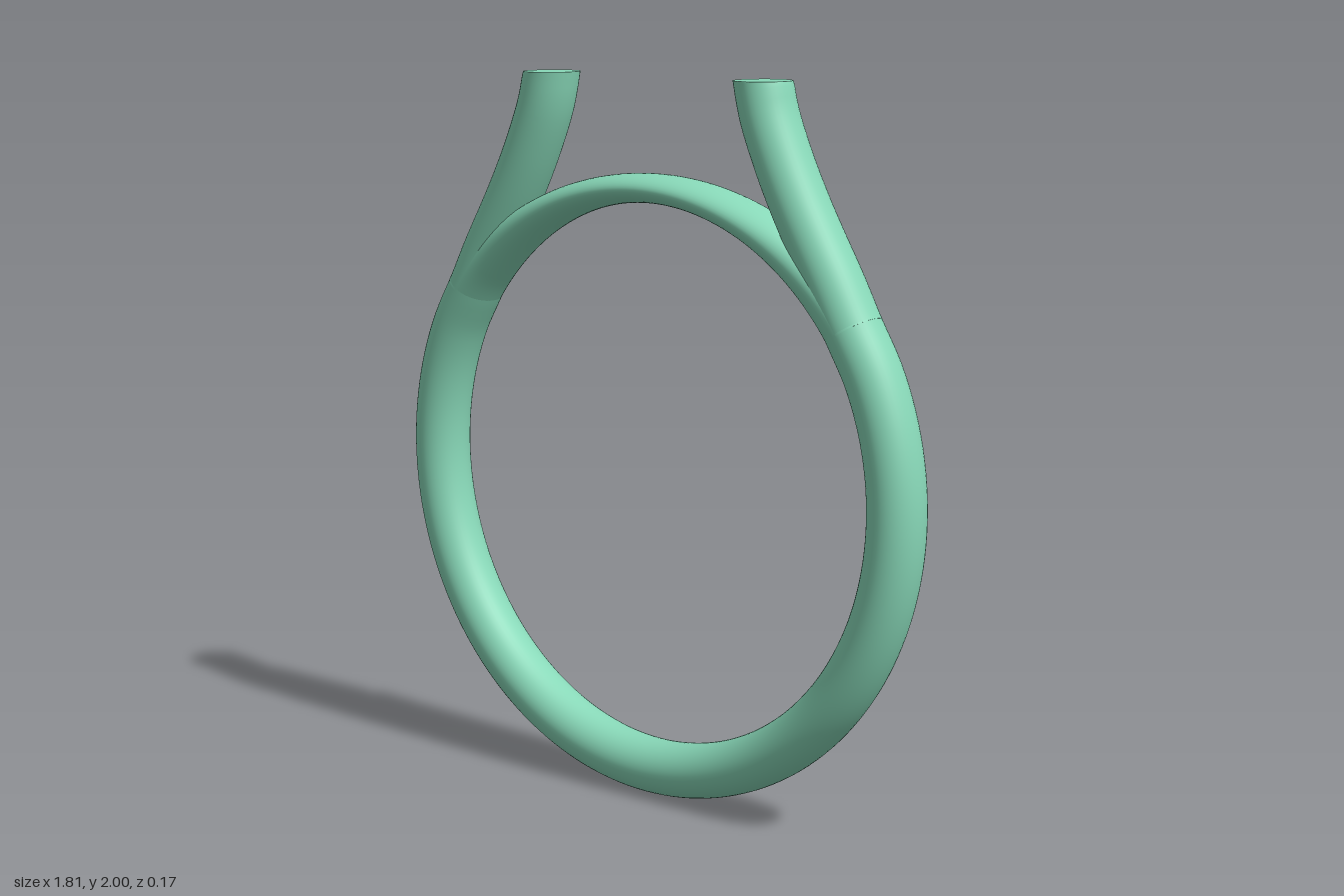
import * as THREE from 'three';

const CENTRE_Y = 0.905;  // middle of the hoop
const INNER = 0.752;     // radius of the opening
const HALF = 0.0765;     // radial half thickness of the band
const DEPTH = 0.083;     // half depth along z
const SIDES = 40;

const material = new THREE.MeshStandardMaterial({ color: 0x88d8b8, roughness: 0.6 });

// Point on a circle around the hoop centre, angle in degrees from +x
function onHoop(radius, degrees) {
  const a = THREE.MathUtils.degToRad(degrees);
  return new THREE.Vector3(radius * Math.cos(a), CENTRE_Y + radius * Math.sin(a), 0);
}

// Sweeps an ellipse along stations { p, t, half } lying in the xy plane, with flat end caps
function sweep(stations) {
  const pos = [], index = [];
  const addRing = ({ p, t, half }) => {
    for (let j = 0; j < SIDES; j++) {
      const a = (j / SIDES) * Math.PI * 2;
      const r = half * Math.cos(a);
      pos.push(p.x + t.y * r, p.y - t.x * r, DEPTH * Math.sin(a));
    }
  };
  stations.forEach(addRing);
  for (let i = 0; i < stations.length - 1; i++) {
    for (let j = 0; j < SIDES; j++) {
      const k = (j + 1) % SIDES;
      const a = i * SIDES + j, b = i * SIDES + k;
      index.push(a, a + SIDES, b, b, a + SIDES, b + SIDES);
    }
  }
  // Caps use their own vertices so the rim stays sharp
  for (const [station, flip] of [[stations[0], false], [stations[stations.length - 1], true]]) {
    const base = pos.length / 3;
    addRing(station);
    pos.push(station.p.x, station.p.y, 0);
    for (let j = 0; j < SIDES; j++) {
      const k = (j + 1) % SIDES;
      index.push(base + SIDES, base + (flip ? k : j), base + (flip ? j : k));
    }
  }
  const geometry = new THREE.BufferGeometry();
  geometry.setAttribute('position', new THREE.Float32BufferAttribute(pos, 3));
  geometry.setIndex(index);
  geometry.computeVertexNormals();
  return geometry;
}

// One band: down from the right-hand tip, around the hoop and up to the other tip
function bandGeometry() {
  const neck = [[0.377, 2], [0.4, 1.91], [0.45, 1.79], [0.506, 1.68], [0.558, 1.59], [0.62, 1.487]];
  const points = neck.map(([x, y]) => new THREE.Vector3(x, y, 0));
  for (let d = 35; d >= -215; d -= 10) points.push(onHoop(INNER + HALF, d));
  neck.reverse().forEach(([x, y]) => points.push(new THREE.Vector3(-x, y, 0)));

  const curve = new THREE.CatmullRomCurve3(points, false, 'centripetal');
  curve.arcLengthDivisions = 1000;
  const count = 170;
  const stations = [];
  for (let i = 0; i <= count; i++) {
    const t = curve.getTangentAt(i / count);
    // Tips are cut level
    if (i === 0) t.set(0, -1, 0);
    if (i === count) t.set(0, 1, 0);
    stations.push({ p: curve.getPointAt(i / count), t, half: HALF });
  }
  return sweep(stations);
}

// Thin arch closing the hoop, thickening into the band at both sides
function bridgeGeometry() {
  const stations = [];
  const spread = 56;
  for (let i = 0; i <= 60; i++) {
    const d = spread * (i / 30 - 1);
    const half = 0.04 + (HALF - 0.04) * (d / spread) ** 2;
    const a = THREE.MathUtils.degToRad(90 - d);
    stations.push({
      p: onHoop(INNER + half, 90 - d),
      t: new THREE.Vector3(Math.sin(a), -Math.cos(a), 0),
      half,
    });
  }
  return sweep(stations);
}

export function createModel() {
  const group = new THREE.Group();
  group.name = 'openRing';
  const parts = { band: bandGeometry(), bridge: bridgeGeometry() };
  for (const [name, geometry] of Object.entries(parts)) {
    const mesh = new THREE.Mesh(geometry, material);
    mesh.name = name;
    group.add(mesh);
  }
  return group;
}
